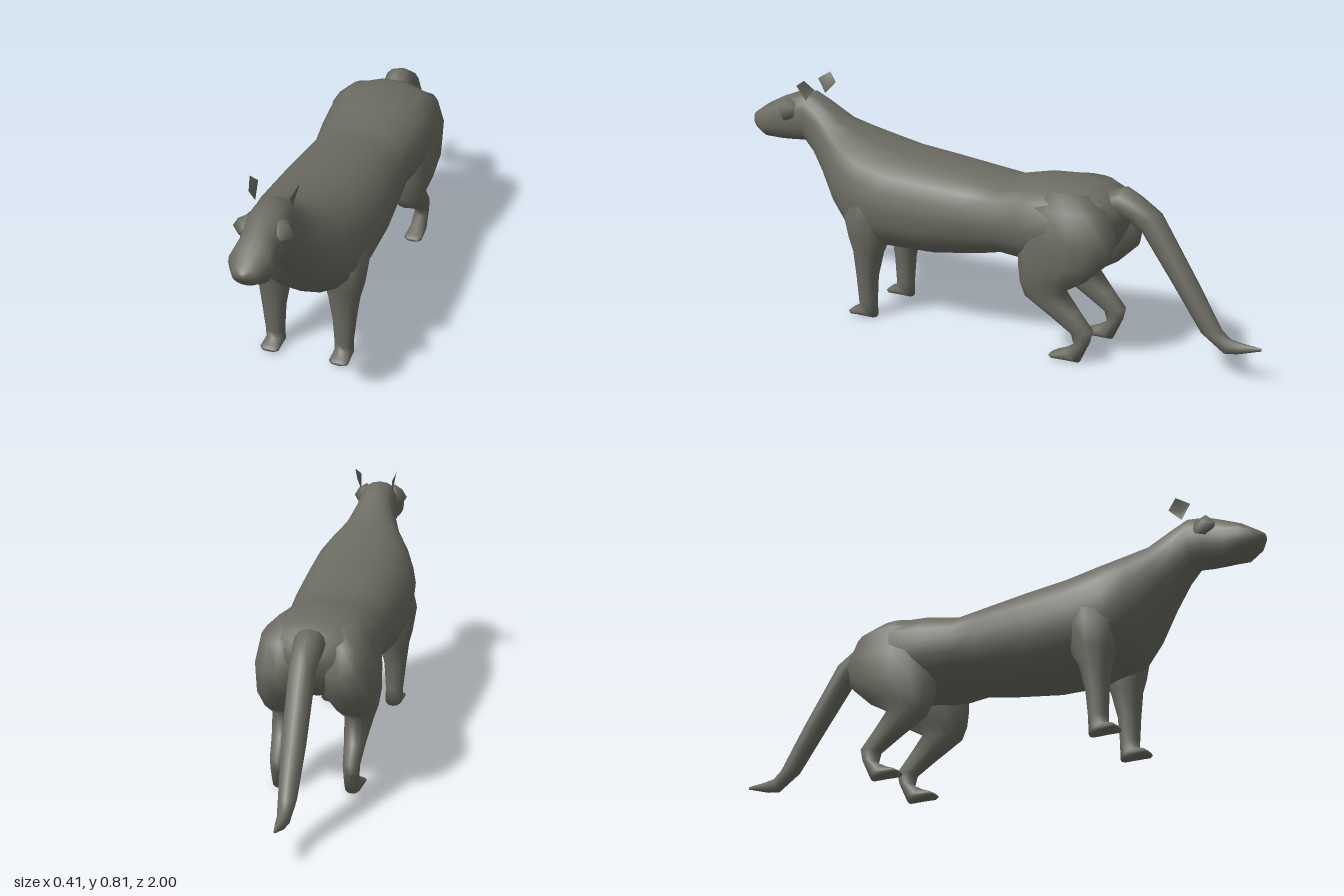
import * as THREE from 'three';

const fur = new THREE.MeshStandardMaterial({ color: 0x6b6b62, side: THREE.DoubleSide });
fur.name = 'grey fur';

// Loft through oval rings. Each ring: [z0, y0, z1, y1, halfWidth, centreX],
// where (z0, y0) and (z1, y1) are the two ends of the oval in side profile.
function loft(rings, { sides = 16, power = 0.9, mirror = 1 } = {}) {
  const pos = [], index = [];
  const bend = v => Math.sign(v) * Math.abs(v) ** power;
  for (const [z0, y0, z1, y1, w, cx = 0] of rings) {
    for (let j = 0; j < sides; j++) {
      const a = (j / sides) * Math.PI * 2;
      const c = bend(Math.cos(a)) / 2, s = bend(Math.sin(a));
      pos.push(cx * mirror + w * s, (y0 + y1) / 2 + (y0 - y1) * c, (z0 + z1) / 2 + (z0 - z1) * c);
    }
  }
  for (let i = 0; i < rings.length - 1; i++) {
    for (let j = 0; j < sides; j++) {
      const k = (j + 1) % sides;
      const a = i * sides + j, b = i * sides + k;
      index.push(a, b, a + sides, b, b + sides, a + sides);
    }
  }
  // closed ends
  for (const end of [0, rings.length - 1]) {
    const [z0, y0, z1, y1, , cx = 0] = rings[end];
    const centre = pos.length / 3;
    pos.push(cx * mirror, (y0 + y1) / 2, (z0 + z1) / 2);
    for (let j = 0; j < sides; j++) {
      const a = end * sides + j, b = end * sides + (j + 1) % sides;
      if (end === 0) index.push(centre, b, a);
      else index.push(centre, a, b);
    }
  }
  return surface(pos, index);
}

function surface(pos, index) {
  const g = new THREE.BufferGeometry();
  g.setAttribute('position', new THREE.Float32BufferAttribute(pos, 3));
  g.setIndex(index);
  g.computeVertexNormals();
  return g;
}

// Nose, head, neck, chest and trunk
const bodyRings = [
  [1.0, 0.645, 1.0, 0.62, 0.015],
  [0.985, 0.655, 0.975, 0.59, 0.042],
  [0.93, 0.692, 0.93, 0.567, 0.072],
  [0.87, 0.722, 0.87, 0.565, 0.062],
  [0.81, 0.746, 0.81, 0.57, 0.076],
  [0.745, 0.756, 0.76, 0.575, 0.07],
  [0.69, 0.732, 0.72, 0.53, 0.074],
  [0.61, 0.68, 0.66, 0.455, 0.108],
  [0.54, 0.657, 0.59, 0.355, 0.155],
  [0.45, 0.635, 0.52, 0.28, 0.19],
  [0.34, 0.612, 0.39, 0.25, 0.202],
  [0.18, 0.597, 0.2, 0.256, 0.197],
  [0.02, 0.58, 0.02, 0.285, 0.183],
  [-0.08, 0.568, -0.08, 0.308, 0.176],
  [-0.2, 0.595, -0.19, 0.3, 0.19],
  [-0.3, 0.602, -0.3, 0.31, 0.198],
  [-0.4, 0.592, -0.4, 0.335, 0.182],
  [-0.46, 0.57, -0.46, 0.375, 0.14],
  [-0.5, 0.52, -0.49, 0.43, 0.07],
];

const tailRings = [
  [-0.42, 0.565, -0.44, 0.5, 0.045],
  [-0.5, 0.596, -0.49, 0.49, 0.052],
  [-0.55, 0.573, -0.53, 0.48, 0.048],
  [-0.63, 0.523, -0.57, 0.455, 0.044],
  [-0.77, 0.305, -0.69, 0.29, 0.04],
  [-0.86, 0.16, -0.79, 0.145, 0.03],
  [-0.89, 0.138, -0.875, 0.085, 0.021],
  [-0.93, 0.132, -0.92, 0.092, 0.017],
  [-1.0, 0.128, -1.0, 0.118, 0.004],
];

const frontLegRings = [
  [0.35, 0.5, 0.48, 0.5, 0.06, 0.12],
  [0.35, 0.38, 0.52, 0.38, 0.078, 0.125],
  [0.36, 0.29, 0.505, 0.295, 0.067, 0.122],
  [0.385, 0.24, 0.49, 0.245, 0.054, 0.122],
  [0.405, 0.15, 0.48, 0.15, 0.04, 0.124],
  [0.41, 0.06, 0.475, 0.06, 0.032, 0.122],
  [0.41, 0.0, 0.475, 0.038, 0.032, 0.121],
  [0.5, 0.0, 0.5, 0.026, 0.034, 0.122],
  [0.512, 0.006, 0.512, 0.016, 0.024, 0.122],
];

const hindLegRings = [
  [-0.41, 0.575, -0.27, 0.58, 0.045, 0.09],
  [-0.48, 0.53, -0.2, 0.53, 0.082, 0.102],
  [-0.516, 0.44, -0.17, 0.42, 0.1, 0.105],
  [-0.5, 0.36, -0.17, 0.315, 0.09, 0.112],
  [-0.42, 0.285, -0.18, 0.255, 0.068, 0.12],
  [-0.345, 0.24, -0.2, 0.205, 0.048, 0.122],
  [-0.4, 0.175, -0.3, 0.145, 0.035, 0.122],
  [-0.45, 0.118, -0.375, 0.098, 0.028, 0.122],
  [-0.44, 0.075, -0.385, 0.062, 0.026, 0.122],
  [-0.405, 0.0, -0.35, 0.042, 0.029, 0.122],
  [-0.31, 0.0, -0.315, 0.026, 0.033, 0.122],
  [-0.298, 0.006, -0.298, 0.016, 0.022, 0.122],
];

// Pointed ridge at each side of the face
const browRings = [
  [0.85, 0.7, 0.85, 0.67, 0.012, 0.055],
  [0.82, 0.735, 0.82, 0.64, 0.046, 0.054],
  [0.78, 0.72, 0.78, 0.65, 0.015, 0.06],
];

// Small cupped leaf-shaped ear: base, front edge, tip, back edge, hollow
const earPoints = [
  0.06, 0.735, 0.735, 0.066, 0.785, 0.77, 0.08, 0.812, 0.725,
  0.066, 0.78, 0.692, 0.057, 0.77, 0.73,
];
const earFaces = [4, 1, 0, 4, 2, 1, 4, 3, 2, 4, 0, 3];

export function createModel() {
  const model = new THREE.Group();
  model.name = 'animal';
  const add = (name, geometry) => {
    const mesh = new THREE.Mesh(geometry, fur);
    mesh.name = name;
    model.add(mesh);
    return mesh;
  };

  add('body', loft(bodyRings, { sides: 20 }));
  add('tail', loft(tailRings, { sides: 12, power: 1 }));

  for (const [side, mirror] of [['left', 1], ['right', -1]]) {
    add(side + 'FrontLeg', loft(frontLegRings, { sides: 12, mirror }));
    add(side + 'HindLeg', loft(hindLegRings, { sides: 14, mirror }));
    add(side + 'Brow', loft(browRings, { sides: 8, power: 1.4, mirror }));
    add(side + 'Ear', surface(earPoints, earFaces)).scale.x = mirror;
  }
  return model;
}
